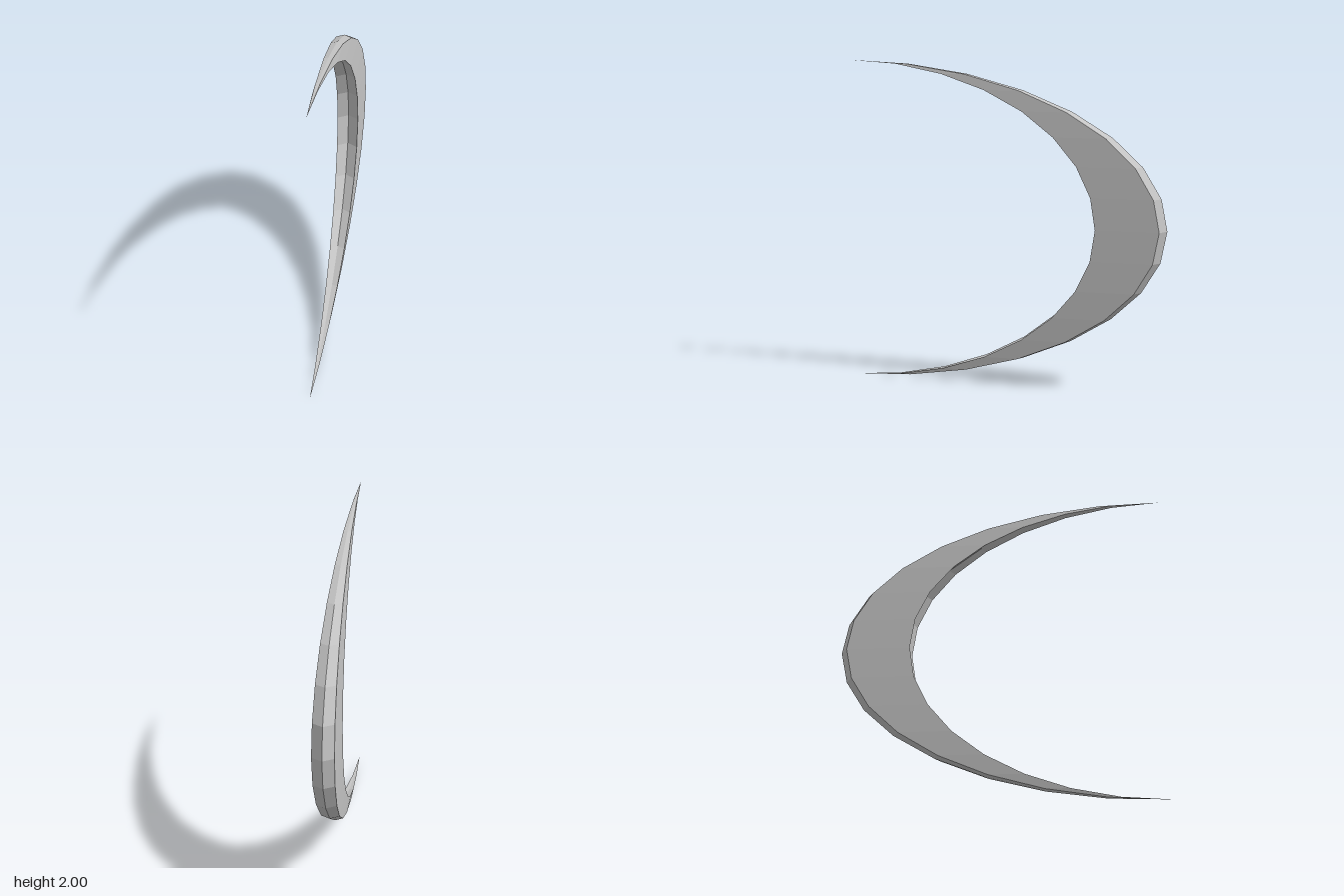
import * as THREE from 'three';

// Chevron cross-section at the widest point: [half width, depth from the tips], counter-clockwise from above
const SECTION = [
  [0, 2], [-0.066, 1.96], [-0.066, 1.57], [0, 1.61], [0.066, 1.57], [0.066, 1.96],
];
const STEPS = 16;

// Sweep the section along a half ellipse, shrinking it to a point at both tips
function crescentGeometry() {
  const point = (i, j) => {
    const t = -Math.PI / 2 + (Math.PI * i) / STEPS;
    const c = i === 0 || i === STEPS ? 0 : Math.cos(t);
    const [x, depth] = SECTION[j % SECTION.length];
    return [x * c, 1 + Math.sin(t), 1 - depth * c];
  };
  const positions = [];
  for (let i = 0; i < STEPS; i++) {
    for (let j = 0; j < SECTION.length; j++) {
      const a = point(i, j), b = point(i, j + 1);
      const c = point(i + 1, j), d = point(i + 1, j + 1);
      if (i > 0) positions.push(...a, ...b, ...d);
      if (i === 0) positions.push(...a, ...d, ...c);
      else if (i < STEPS - 1) positions.push(...a, ...d, ...c);
    }
  }
  const geometry = new THREE.BufferGeometry();
  geometry.setAttribute('position', new THREE.Float32BufferAttribute(positions, 3));
  geometry.computeVertexNormals();
  return geometry;
}

export function createModel() {
  const group = new THREE.Group();
  group.name = 'crescent';

  const grey = new THREE.MeshStandardMaterial({ color: 0xc4c4c4 });
  grey.name = 'light grey';
  grey.flatShading = true;

  // Crescent blade with a ridged outer edge and a grooved inner edge
  const blade = new THREE.Mesh(crescentGeometry(), grey);
  blade.name = 'crescentBlade';
  group.add(blade);
  return group;
}
